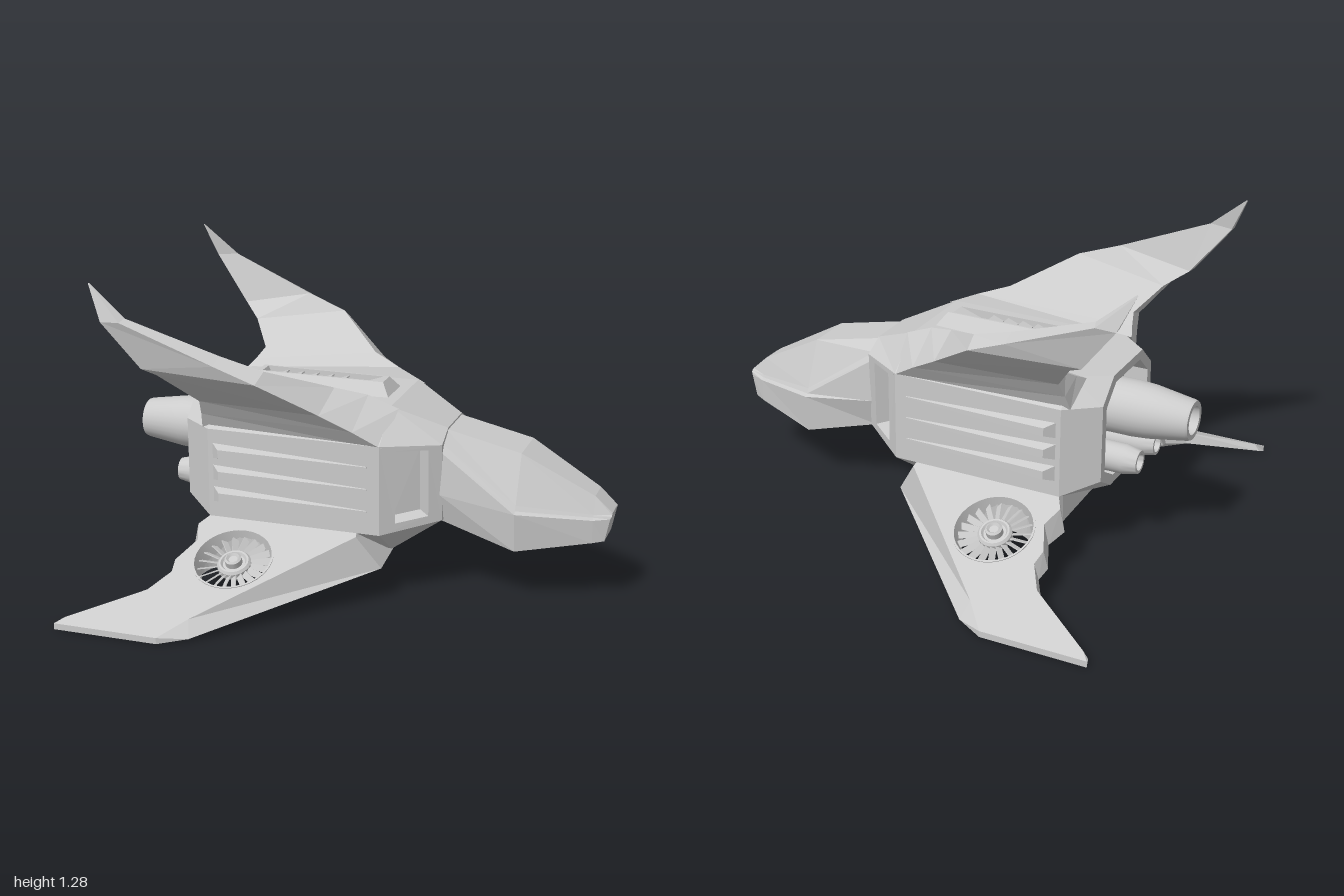
import * as THREE from 'three';
import { mergeGeometries, toCreasedNormals } from 'three/addons/utils/BufferGeometryUtils.js';

const flat = new THREE.MeshStandardMaterial({ color: 0xcccccc, flatShading: true });
const open = new THREE.MeshStandardMaterial({ color: 0xcccccc, flatShading: true, side: THREE.DoubleSide });
const smooth = new THREE.MeshStandardMaterial({ color: 0xcccccc });

// Skin a list of rings of [x, y, z] points, cap both ends and face outwards
function loft(rings, { caps = true, skip = () => false } = {}) {
  const tris = [];
  const n = rings[0].length;
  for (let i = 0; i < rings.length - 1; i++) {
    for (let j = 0; j < n; j++) {
      if (skip(i, j)) continue;
      const k = (j + 1) % n, a = rings[i], b = rings[i + 1];
      tris.push([a[j], b[j], b[k]], [a[j], b[k], a[k]]);
    }
  }
  if (caps) {
    const a = rings[0], b = rings[rings.length - 1];
    for (let j = 1; j < n - 1; j++) tris.push([a[0], a[j], a[j + 1]], [b[0], b[j + 1], b[j]]);
  }
  const v = (p) => new THREE.Vector3(...p);
  const volume = tris.reduce((s, [a, b, c]) => s + v(a).dot(v(b).cross(v(c))), 0);
  if (volume < 0) tris.forEach((t) => t.reverse());
  const geo = new THREE.BufferGeometry();
  geo.setAttribute('position', new THREE.Float32BufferAttribute(tris.flat(2), 3));
  geo.computeVertexNormals();
  return geo;
}

// Complete a half section across z = 0
const whole = (half) => [...half, ...half.slice().reverse().map(([x, y, z]) => [x, y, -z])];
const section = (x, half) => whole(half.map(([y, z]) => [x, y, z]));

function mirrored(geo) {
  const g = geo.index ? geo.toNonIndexed() : geo.clone();
  g.scale(1, 1, -1);
  for (const attr of Object.values(g.attributes)) {
    const s = attr.itemSize, a = attr.array;
    for (let i = 0; i < a.length; i += 3 * s) {
      for (let k = 0; k < s; k++) [a[i + s + k], a[i + 2 * s + k]] = [a[i + 2 * s + k], a[i + s + k]];
    }
  }
  return g;
}

export function createModel() {
  const model = new THREE.Group();
  model.name = 'spacecraft';
  const add = (name, geo, mat = flat) => {
    const mesh = new THREE.Mesh(geo, mat);
    mesh.name = name;
    model.add(mesh);
  };
  const pair = (name, geo, mat = flat) => {
    add(name + 'Left', geo, mat);
    add(name + 'Right', mirrored(geo), mat);
  };

  // Fuselage with a recessed engine bay, its angled front panels left open for the intakes
  const rear = [[0.76, 0.14], [0.67, 0.24], [0.35, 0.24], [0.29, 0.14]];
  const bay = rear.map(([y, z]) => [0.525 + (y - 0.525) * 0.85, z * 0.85]);
  add('fuselage', loft([
    section(-0.62, bay),
    section(-0.72, bay),
    section(-0.72, rear),
    section(-0.59, [[0.77, 0.24], [0.67, 0.34], [0.30, 0.34], [0.27, 0.2]]),
    section(0.13, [[0.79, 0.19], [0.67, 0.34], [0.30, 0.34], [0.18, 0.17]]),
    section(0.34, [[0.695, 0.10], [0.65, 0.185], [0.33, 0.175], [0.32, 0.12]]),
  ], { skip: (i, j) => i === 4 && (j === 1 || j === 5) }));

  // Side intakes: panel, opening, recess and back wall
  const onPanel = (u, v, depth) => [
    0.13 + 0.21 * u - 0.59 * depth,
    THREE.MathUtils.lerp(0.30 + 0.03 * u, 0.67 - 0.02 * u, v),
    0.34 - (0.165 - 0.01 * v) * u - 0.81 * depth,
  ];
  const panelRing = (u0, u1, v0, v1, d) =>
    [[u0, v0], [u1, v0], [u1, v1], [u0, v1]].map(([u, v]) => onPanel(u, v, d));
  const intake = [panelRing(0, 1, 0, 1, 0), panelRing(0.25, 0.78, 0.1, 0.94, 0), panelRing(0.3, 0.73, 0.13, 0.91, 0.06)];
  pair('intake', mergeGeometries([
    loft(intake, { caps: false }),
    loft([intake[2], intake[2].map(([x, y, z]) => [x - 0.006, y, z - 0.008])]),
  ]), open);

  // Nose: canopy top, canopy foot, hull rim, belly
  add('nose', loft([
    whole([[0.33, 0.69, 0.10], [0.33, 0.65, 0.16], [0.33, 0.62, 0.18], [0.33, 0.44, 0.185], [0.33, 0.32, 0.15]]),
    whole([[0.64, 0.62, 0.10], [0.64, 0.43, 0.18], [0.64, 0.41, 0.19], [0.64, 0.40, 0.205], [0.64, 0.24, 0.19]]),
    whole([[0.93, 0.46, 0.055], [0.93, 0.39, 0.08], [0.93, 0.38, 0.085], [0.93, 0.37, 0.095], [0.93, 0.274, 0.09]]),
    whole([[1.0, 0.395, 0.05], [1.0, 0.39, 0.06], [1.0, 0.385, 0.065], [0.995, 0.375, 0.07], [0.975, 0.28, 0.07]]),
  ]));

  // Upper wings: rear inner, front inner, front outer, rear outer at each station
  pair('upperWing', loft([
    [[-0.64, 0.765, 0.22], [0.16, 0.78, 0.18], [0.14, 0.66, 0.335], [-0.62, 0.67, 0.32]],
    [[-0.62, 0.79, 0.27], [0.04, 0.832, 0.20], [0.03, 0.73, 0.375], [-0.61, 0.735, 0.35]],
    [[-0.60, 0.825, 0.33], [-0.08, 0.868, 0.26], [-0.09, 0.80, 0.42], [-0.60, 0.80, 0.39]],
    [[-0.68, 0.915, 0.44], [-0.29, 0.975, 0.475], [-0.30, 0.94, 0.55], [-0.71, 0.94, 0.54]],
    [[-0.76, 0.965, 0.52], [-0.46, 1.03, 0.505], [-0.46, 1.005, 0.57], [-0.765, 0.965, 0.56]],
    [[-0.91, 1.155, 0.57], [-0.82, 1.165, 0.57], [-0.83, 1.155, 0.605], [-0.91, 1.15, 0.60]],
    [[-0.972, 1.29, 0.557], [-0.968, 1.29, 0.557], [-0.968, 1.288, 0.562], [-0.972, 1.288, 0.562]],
  ]));

  // Lower wings: pierced plan shape, wedge-thick at the root, edges bevelled
  const plan = new THREE.Shape([
    [0.12, 0.3], [0.13, 0.36], [-0.45, 0.9], [-0.56, 0.955], [-0.99, 0.955], [-0.98, 0.92], [-0.71, 0.74],
    [-0.65, 0.64], [-0.66, 0.58], [-0.61, 0.47], [-0.64, 0.39], [-0.61, 0.34], [-0.59, 0.3],
  ].map((p) => new THREE.Vector2(...p)));
  plan.holes.push(new THREE.Path().absellipse(-0.41, 0.54, 0.16, 0.147, 0, Math.PI * 2, true));
  const wing = new THREE.ExtrudeGeometry(plan, { depth: 1, bevelEnabled: false, curveSegments: 24 });
  const pos = wing.attributes.position;
  for (let i = 0; i < pos.count; i++) {
    let x = pos.getX(i), z = pos.getY(i);
    const under = pos.getZ(i) > 0.5, trailing = x < -0.6 && z > 0.31 && z < 0.95;
    if (under) {
      if (z < 0.31) z = 0;
      else if (x > 0.1) z = 0.31;
    } else if (x > 0.1) x -= 0.09;
    else if (z > 0.89 && z < 0.91) [x, z] = [-0.47, 0.85];
    else if (trailing) x += 0.02;
    const top = 0.30 - (z - 0.34) * 0.435;
    const keel = 0.18 - Math.max(0, z - 0.17) * 0.22;
    pos.setXYZ(i, x, under ? THREE.MathUtils.lerp(keel, top - 0.02, trailing ? 0.4 : 0) : top, z);
  }
  wing.computeVertexNormals();
  pair('lowerWing', wing);

  // Wing fans, sunk into the wing and tilted with its surface
  const seat = (g) => g.rotateX(0.41).translate(-0.41, 0.213, 0.54);
  const lathe = (pts, sides) =>
    toCreasedNormals(new THREE.LatheGeometry(pts.map((p) => new THREE.Vector2(...p)), sides), 0.6);
  pair('fanRim', seat(lathe([[0.138, -0.07], [0.16, -0.07], [0.163, 0.003], [0.155, 0.003], [0.138, -0.07]], 32)), smooth);
  pair('fanHub', seat(lathe([[0, -0.05], [0.068, -0.05], [0.068, -0.025], [0.06, -0.015], [0.052, -0.015], [0.045, -0.025],
    [0.034, -0.025], [0.034, 0.0], [0.026, 0.006], [0.018, -0.003], [0, -0.003]], 24)), smooth);
  const blades = [];
  for (let i = 0; i < 20; i++) {
    blades.push(new THREE.BoxGeometry(0.085, 0.004, 0.027).rotateX(0.7)
      .translate(0.105, -0.036, 0).rotateY((i * Math.PI) / 10));
  }
  pair('fanBlades', seat(mergeGeometries(blades)));

  // Three tapering ribs on each flank
  const ribs = [0.58, 0.488, 0.396].map((y) => {
    const ring = (x, out, h, lean) => [[x, y + h, 0.335], [x + lean, y + h * 0.5, out], [x + lean, y - h * 0.5, out], [x, y - h, 0.335]];
    return loft([ring(-0.575, 0.376, 0.034, 0.04), ring(0.08, 0.344, 0.004, 0)]);
  });
  pair('flankRibs', mergeGeometries(ribs));

  // Dorsal vent with louvres
  const rect = (x0, x1, z, y) => [[x0, y, -z], [x1, y, -z], [x1, y, z], [x0, y, z]];
  add('dorsalVent', loft([
    rect(-0.52, 0.10, 0.1, 0.765), rect(-0.49, 0.05, 0.042, 0.838),
    rect(-0.47, 0.03, 0.034, 0.838), rect(-0.45, -0.11, 0.032, 0.79),
  ]));
  for (let i = 0; i < 5; i++) {
    add('ventLouvre', new THREE.BoxGeometry(0.048, 0.006, 0.068).rotateZ(0.35).translate(-0.4 + i * 0.065, 0.818, 0));
  }

  // Main engine and two small thrusters, hollow at the back
  const engine = (pts, y, z) => lathe(pts, 28).rotateZ(Math.PI / 2).translate(0, y, z);
  add('mainEngine', engine([[0.112, 0.62], [0.112, 0.76], [0.107, 0.83], [0.082, 0.99], [0.078, 1.0], [0.058, 1.0],
    [0.05, 0.9], [0, 0.9]], 0.572, 0), smooth);
  pair('thruster', engine([[0.06, 0.6], [0.06, 0.76], [0.046, 0.82], [0.034, 0.82],
    [0.028, 0.77], [0, 0.77]], 0.39, 0.09), smooth);

  return model;
}
